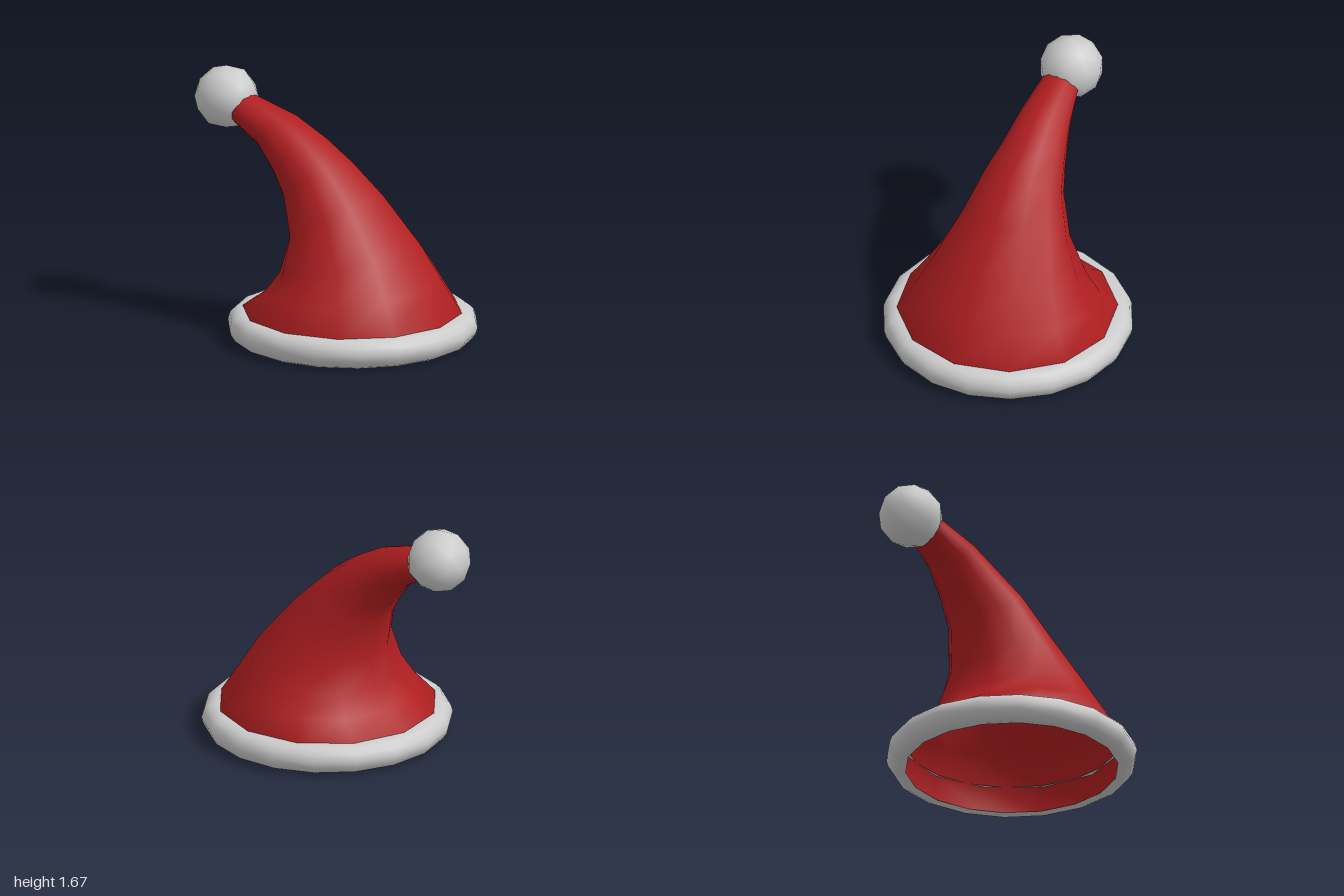
import * as THREE from 'three';

const SIDES = 12;

// Cross-sections of the bent cone: right-hand rim point, left-hand rim point, front and back z
const SECTIONS = [
  { a: [0.90, 0.01], b: [-0.53, 0.01], z: [0.72, -0.71] },
  { a: [0.90, 0.19], b: [-0.53, 0.19], z: [0.72, -0.71] },
  { a: [0.76, 0.40], b: [-0.37, 0.29], z: [0.61, -0.61] },
  { a: [0.61, 0.63], b: [-0.28, 0.41], z: [0.50, -0.51] },
  { a: [0.34, 0.95], b: [-0.22, 0.62], z: [0.37, -0.36] },
  { a: [0.13, 1.15], b: [-0.28, 0.89], z: [0.30, -0.25] },
  { a: [-0.07, 1.29], b: [-0.37, 1.03], z: [0.25, -0.19] },
  { a: [-0.29, 1.41], b: [-0.50, 1.20], z: [0.22, -0.13] },
  { a: [-0.61, 1.51], b: [-0.67, 1.31], z: [0.20, -0.06] },
  { a: [-0.76, 1.52], b: [-0.80, 1.38], z: [0.15, -0.01] },
];

// Skin a row of tilted elliptical rings
function loft(sections) {
  const positions = [];
  const index = [];
  sections.forEach(({ a, b, z }, row) => {
    for (let i = 0; i < SIDES; i++) {
      const angle = (i / SIDES) * Math.PI * 2;
      const t = (1 + Math.cos(angle)) / 2;
      const s = (1 + Math.sin(angle)) / 2;
      positions.push(
        THREE.MathUtils.lerp(b[0], a[0], t),
        THREE.MathUtils.lerp(b[1], a[1], t),
        THREE.MathUtils.lerp(z[1], z[0], s),
      );
      if (row === sections.length - 1) continue;
      const j = (i + 1) % SIDES;
      const p = row * SIDES + i, q = row * SIDES + j;
      index.push(p, p + SIDES, q, q, p + SIDES, q + SIDES);
    }
  });
  const geometry = new THREE.BufferGeometry();
  geometry.setAttribute('position', new THREE.Float32BufferAttribute(positions, 3));
  geometry.setIndex(index);
  geometry.computeVertexNormals();
  return geometry;
}

export function createModel() {
  const hat = new THREE.Group();
  hat.name = 'hat';
  const red = new THREE.MeshStandardMaterial({ color: 0xb01e20, side: THREE.DoubleSide });
  const fur = new THREE.MeshStandardMaterial({ color: 0xcccccc, side: THREE.DoubleSide });

  const add = (name, geometry, material, x = 0, y = 0, z = 0) => {
    const mesh = new THREE.Mesh(geometry, material);
    mesh.name = name;
    mesh.position.set(x, y, z);
    hat.add(mesh);
  };

  // Open cone that leans over towards the tip
  add('cone', loft(SECTIONS), red);

  // Rounded fur band around the opening
  const profile = [
    [0.69, 0.01], [0.74, 0], [0.78, 0.02], [0.805, 0.06], [0.815, 0.1],
    [0.80, 0.145], [0.77, 0.175], [0.73, 0.19], [0.69, 0.19],
  ].map(([r, y]) => new THREE.Vector2(r, y));
  add('brim', new THREE.LatheGeometry(profile, 18), fur, 0.185, 0, 0);

  // Ball at the tip
  add('pompom', new THREE.IcosahedronGeometry(0.21, 1), fur, -0.79, 1.465, 0.07);

  return hat;
}
